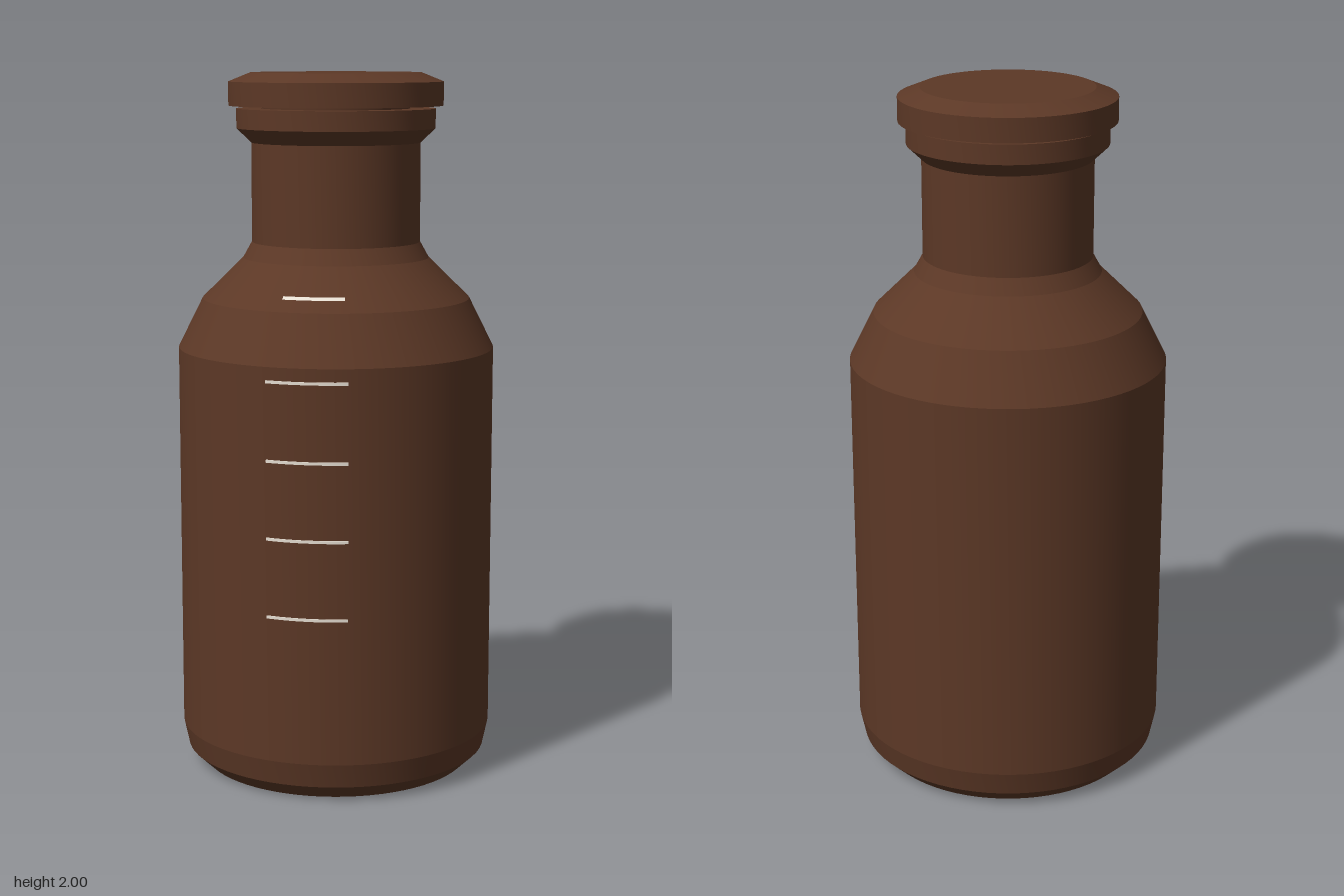
import * as THREE from 'three';
import { toCreasedNormals } from 'three/addons/utils/BufferGeometryUtils.js';

const glass = new THREE.MeshStandardMaterial({ color: 0x5c3826 });
const paint = new THREE.MeshStandardMaterial({ color: 0xe8e0d4 });

// Turned part: profile of [radius, height], smooth around and sharp between bands
function turned(name, profile, material, arc = Math.PI * 2, segments = 72) {
  const points = profile.map(([r, y]) => new THREE.Vector2(r, y));
  const lathe = new THREE.LatheGeometry(points, segments, arc < 6 ? -arc / 2 : 0, arc);
  const mesh = new THREE.Mesh(toCreasedNormals(lathe, 0.13), material);
  mesh.name = name;
  return mesh;
}

// Thin curved line wrapped on the front; lean is the change in radius over its height
function mark(name, radius, y, halfWidth, lean = 0) {
  const h = 0.004, lift = 0.003;
  const lo = radius + lean / 2, hi = radius - lean / 2;
  const profile = [
    [lo - lift, y - h], [lo + lift, y - h],
    [hi + lift, y + h], [hi - lift, y + h],
  ];
  return turned(name, profile, paint, 2 * Math.asin(halfWidth / radius), 12);
}

export function createModel() {
  const model = new THREE.Group();
  model.name = 'stopperedBottle';

  // Body, shoulder, neck and flared lip, turning in to the mouth
  model.add(turned('bottle', [
    [0, 0], [0.39, 0], [0.437, 0.045], [0.452, 0.115], [0.452, 1.225],
    [0.382, 1.365], [0.265, 1.48], [0.24, 1.525], [0.24, 1.805],
    [0.282, 1.845], [0.282, 1.9], [0.21, 1.9], [0.2, 1.7],
  ], glass));

  // Stopper with a plug in the mouth and a bevelled cap
  model.add(turned('stopper', [
    [0, 1.72], [0.19, 1.72], [0.21, 1.908], [0.304, 1.908],
    [0.304, 1.975], [0.242, 2], [0, 2],
  ], glass));

  // Volume marks up the front, the shortest on the shoulder
  const marks = new THREE.Group();
  marks.name = 'volumeMarks';
  [0.53, 0.75, 0.967, 1.185].forEach((y, i) =>
    marks.add(mark(`bodyMark${i + 1}`, 0.452, y, 0.113)));
  marks.add(mark('shoulderMark', 0.346, 1.4, 0.085, 0.008));
  model.add(marks);

  return model;
}
